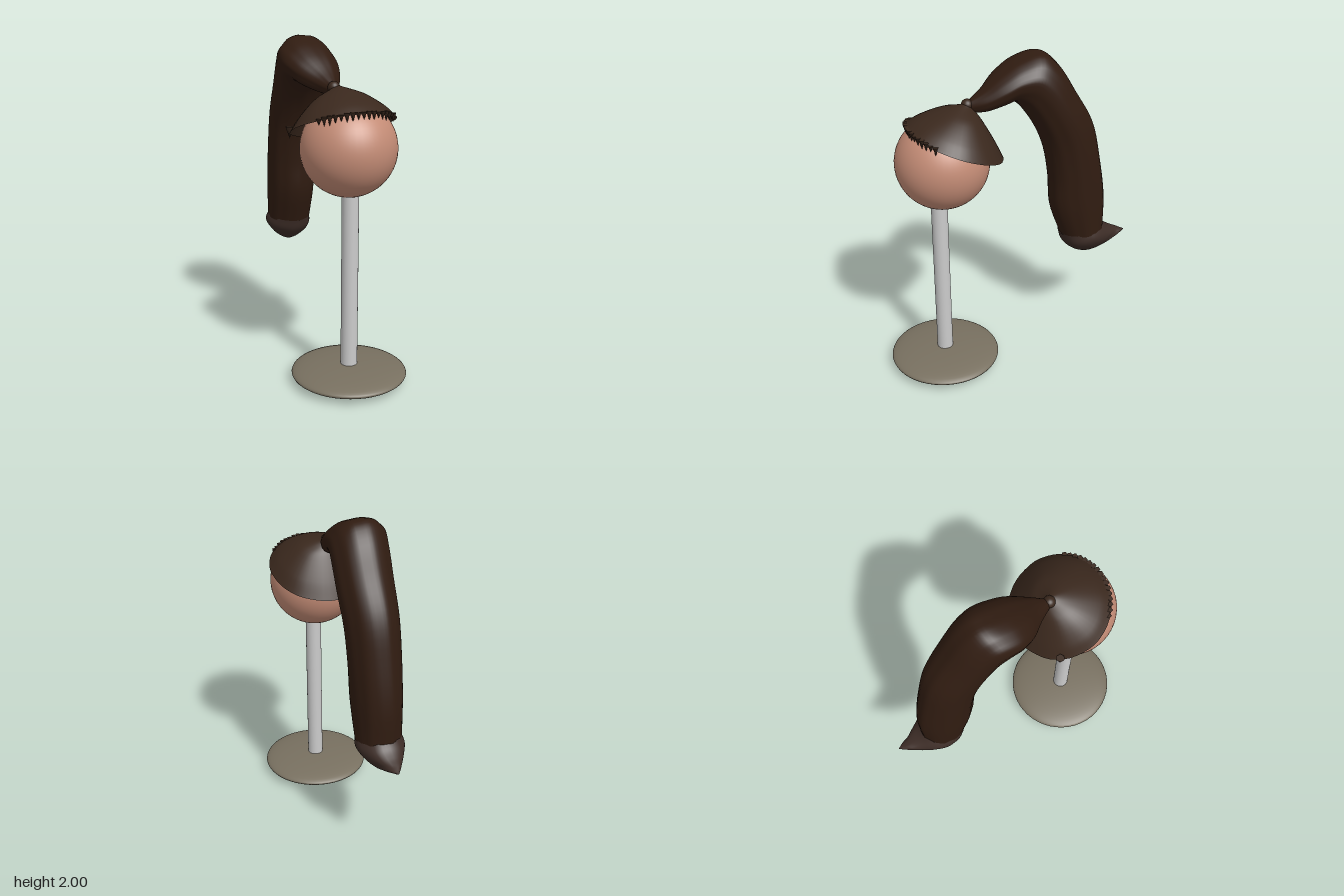
import * as THREE from 'three';

const mat = (color, side = THREE.FrontSide) =>
  new THREE.MeshStandardMaterial({ color, side });

// Smooth loft through sections [zA, yA, zB, yB, xMin, xMax]:
// A and B are opposite ends of each oval in the side plane.
function loft(sections, rows, sides, ripple = 0) {
  const a = new THREE.CatmullRomCurve3(sections.map(s => new THREE.Vector3(s[5], s[1], s[0])));
  const b = new THREE.CatmullRomCurve3(sections.map(s => new THREE.Vector3(s[4], s[3], s[2])));
  const pos = [], index = [];
  for (let i = 0; i <= rows; i++) {
    const t = i / rows, p = a.getPoint(t), q = b.getPoint(t);
    for (let j = 0; j < sides; j++) {
      const ang = j / sides * Math.PI * 2;
      const r = 1 + ripple * (Math.sin(ang * 7 + t * 2) + 0.6 * Math.sin(ang * 13 - t * 3));
      const c = Math.cos(ang) * r, s = Math.sin(ang) * r;
      pos.push((p.x + q.x) / 2 + c * (p.x - q.x) / 2,
        (p.y + q.y) / 2 + s * (p.y - q.y) / 2,
        (p.z + q.z) / 2 + s * (p.z - q.z) / 2);
      if (i < rows) {
        const k = i * sides + j, n = i * sides + (j + 1) % sides;
        index.push(k, k + sides, n, n, k + sides, n + sides);
      }
    }
  }
  const g = new THREE.BufferGeometry();
  g.setAttribute('position', new THREE.Float32BufferAttribute(pos, 3));
  g.setIndex(index);
  g.computeVertexNormals();
  return g;
}

export function createModel() {
  const model = new THREE.Group();
  const add = (name, geometry, material, x = 0, y = 0, z = 0) => {
    const m = new THREE.Mesh(geometry, material);
    m.name = name;
    m.position.set(x, y, z);
    model.add(m);
    return m;
  };
  const capMat = mat(0x3a281d, THREE.DoubleSide);
  const hairMat = mat(0x301c11, THREE.DoubleSide);
  const tipMat = mat(0x3d2d27, THREE.DoubleSide);

  // Stand and head
  add('base', new THREE.SphereGeometry(0.345, 48, 24), mat(0x787060), 0, 0.053, 0.46)
    .scale.y = 0.053 / 0.345;
  add('pole', new THREE.CylinderGeometry(0.05, 0.05, 1.14, 32), mat(0xcccccc), 0, 0.63, 0.46);
  add('head', new THREE.SphereGeometry(0.28, 48, 32), mat(0xc48c76), 0, 1.42, 0.43);

  // Hair cap: tilted cone from rim to the gathered crown
  add('hairCap', loft([
    [0.635, 1.65, 0.07, 1.42, -0.31, 0.31],
    [0.56, 1.69, 0.115, 1.52, -0.255, 0.255],
    [0.42, 1.735, 0.19, 1.66, -0.14, 0.14],
    [0.3, 1.755, 0.225, 1.71, -0.04, 0.03],
    [0.265, 1.755, 0.26, 1.755, -0.01, 0],
  ], 20, 48, 0.004), capMat);

  // Ragged fringe along the front rim, plus a loose lock at the back right
  for (let i = 0; i < 17; i++) {
    const a = -0.85 + i * 1.7 / 16;
    const h = 0.035 + 0.02 * Math.abs(Math.sin(i * 2.3));
    const lock = add('fringeLock', new THREE.ConeGeometry(0.017, h, 5), capMat,
      0.3 * Math.sin(a), 1.535 + 0.115 * Math.cos(a) - h * 0.25, 0.352 + 0.275 * Math.cos(a));
    lock.rotation.set(Math.PI, 0, 0);
  }
  add('looseLock', new THREE.ConeGeometry(0.025, 0.07, 6), capMat, -0.265, 1.485, 0.19)
    .rotation.x = Math.PI;

  // Tie at the crown
  add('hairTie', new THREE.SphereGeometry(0.036, 20, 14), capMat, -0.02, 1.742, 0.262);

  // Ponytail: rises from the tie, bends over and hangs behind
  add('ponytail', loft([
    [0.26, 1.76, 0.23, 1.69, -0.05, 0.01],
    [0.17, 1.82, 0.16, 1.69, -0.1, 0.06],
    [0.06, 1.905, 0.06, 1.71, -0.18, 0.1],
    [-0.06, 1.97, -0.01, 1.725, -0.215, 0.115],
    [-0.2, 2.0, -0.06, 1.695, -0.215, 0.13],
    [-0.295, 1.93, -0.11, 1.635, -0.2, 0.14],
    [-0.41, 1.75, -0.175, 1.525, -0.185, 0.145],
    [-0.53, 1.54, -0.23, 1.38, -0.175, 0.14],
    [-0.595, 1.28, -0.265, 1.18, -0.17, 0.135],
    [-0.64, 1.0, -0.28, 0.98, -0.165, 0.13],
    [-0.64, 0.79, -0.355, 0.76, -0.155, 0.12],
  ], 50, 56, 0.012), hairMat);

  // Pointed end, swept backwards
  add('ponytailTip', loft([
    [-0.63, 0.815, -0.345, 0.77, -0.15, 0.115],
    [-0.665, 0.775, -0.37, 0.7, -0.165, 0.125],
    [-0.71, 0.745, -0.43, 0.64, -0.135, 0.1],
    [-0.755, 0.725, -0.52, 0.605, -0.09, 0.06],
    [-0.785, 0.712, -0.67, 0.65, -0.045, 0.035],
    [-0.808, 0.703, -0.803, 0.698, -0.004, 0.004],
  ], 24, 40, 0.008), tipMat);

  return model;
}
